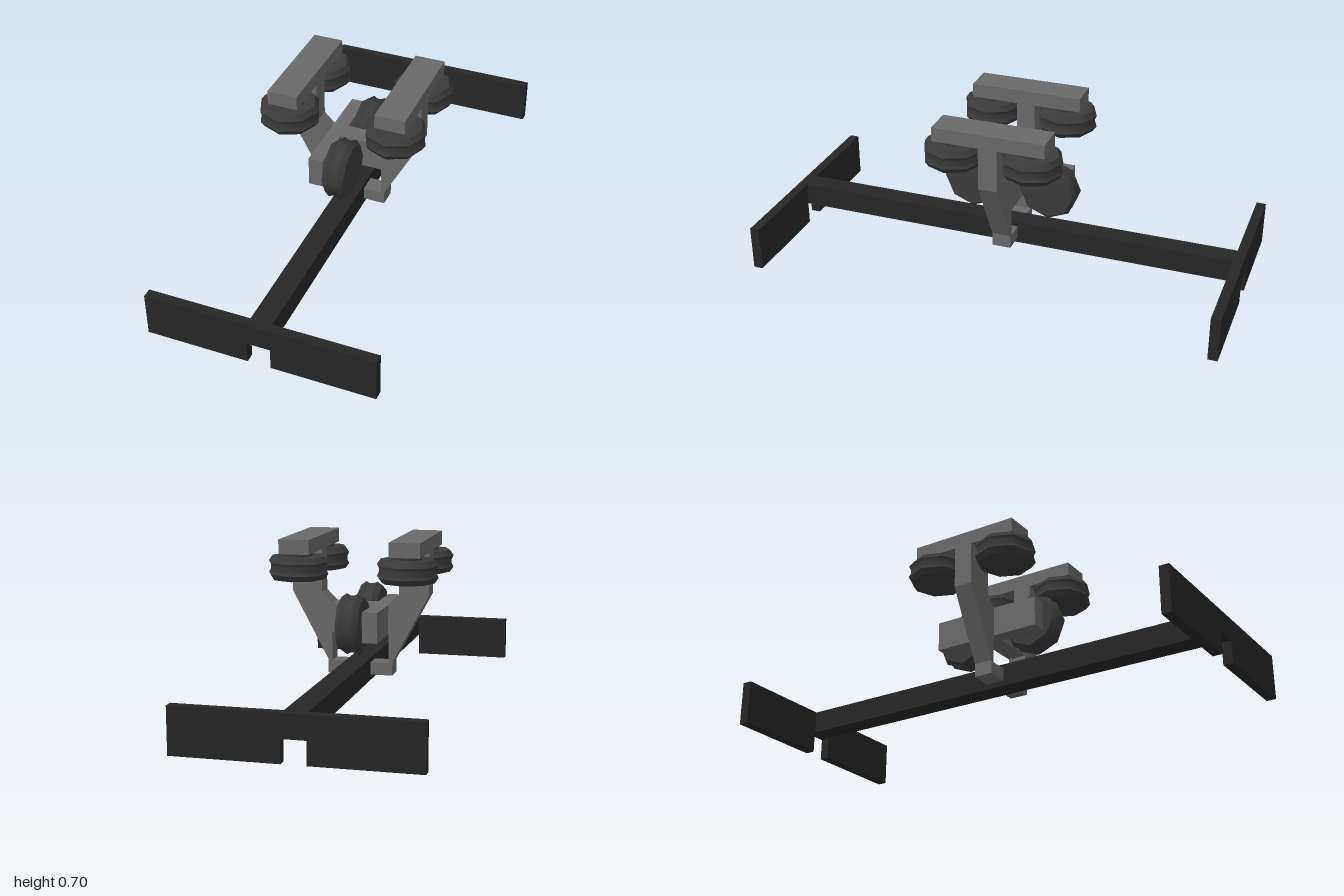
import * as THREE from 'three';
import { toCreasedNormals } from 'three/addons/utils/BufferGeometryUtils.js';

const steel = new THREE.MeshStandardMaterial({ color: 0x696969 });
const rail = new THREE.MeshStandardMaterial({ color: 0x262626 });
const rubber = new THREE.MeshStandardMaterial({ color: 0x3a3a3a });

export function createModel() {
  const model = new THREE.Group();

  const add = (name, geometry, material, x = 0, y = 0, z = 0, parent = model) => {
    const mesh = new THREE.Mesh(geometry, material);
    mesh.name = name;
    mesh.position.set(x, y, z);
    parent.add(mesh);
    return mesh;
  };

  // Flat outline extruded symmetrically about z = 0
  const plate = (points, depth) => {
    const shape = new THREE.Shape(points.map(([x, y]) => new THREE.Vector2(x, y)));
    return new THREE.ExtrudeGeometry(shape, { depth, bevelEnabled: false }).translate(0, 0, -depth / 2);
  };
  // Right half of an outline, followed by its mirror image
  const mirrored = (half) => [...half, ...half.map(([x, y]) => [-x, y]).reverse()];

  // Track: long beam with a notched plate at each end
  add('trackBeam', new THREE.BoxGeometry(0.09, 0.095, 1.92), rail, 0, 0.1395, 0);
  const endPlate = plate(mirrored([[0.048, 0.092], [0.048, 0], [0.475, 0], [0.475, 0.187]]), 0.04);
  for (const s of [1, -1]) add('endPlate', endPlate, rail, 0, 0, s * 0.98);

  // Yoke: crossbar, two upright arms, and legs with feet gripping the beam
  const yoke = plate(mirrored([
    [0.122, 0.29], [0.122, 0.168], [0.045, 0.168], [0.045, 0.115], [0.138, 0.115],
    [0.138, 0.172], [0.292, 0.46], [0.292, 0.645], [0.165, 0.645], [0.165, 0.46], [0.12, 0.415],
  ]), 0.08);
  add('yoke', yoke, steel);

  // Wheel: eight-sided tyre with a shallow groove, plus a short hub on its +y side
  const profile = [
    [0, -0.047], [0.111, -0.047], [0.127, -0.024], [0.119, -0.008],
    [0.119, 0.008], [0.127, 0.024], [0.111, 0.047], [0, 0.047],
  ].map(([r, y]) => new THREE.Vector2(r, y));
  const tyre = toCreasedNormals(new THREE.LatheGeometry(profile, 8), 0.88);
  const hub = toCreasedNormals(new THREE.CylinderGeometry(0.06, 0.06, 0.02, 8), 0.88);
  const addWheel = (name, x, y, z) => {
    const wheel = new THREE.Group();
    wheel.name = name;
    wheel.position.set(x, y, z);
    add('tyre', tyre, rubber, 0, 0, 0, wheel);
    add('hub', hub, rubber, 0, 0.053, 0, wheel);
    model.add(wheel);
    return wheel;
  };

  // Upper carriers, each with two horizontal wheels beneath
  for (const side of [1, -1]) {
    add('upperCarrier', new THREE.BoxGeometry(0.127, 0.06, 0.475), steel, side * 0.2285, 0.67, 0);
    for (const end of [1, -1]) addWheel('upperWheel', side * 0.2285, 0.58, end * 0.167);
  }

  // Central carrier with two vertical wheels, hubs facing the carrier
  add('centralCarrier', new THREE.BoxGeometry(0.062, 0.126, 0.475), steel, -0.089, 0.352, 0);
  for (const end of [1, -1]) {
    addWheel('centralWheel', 0, 0.352, end * 0.167).rotation.z = Math.PI / 2;
  }

  return model;
}
